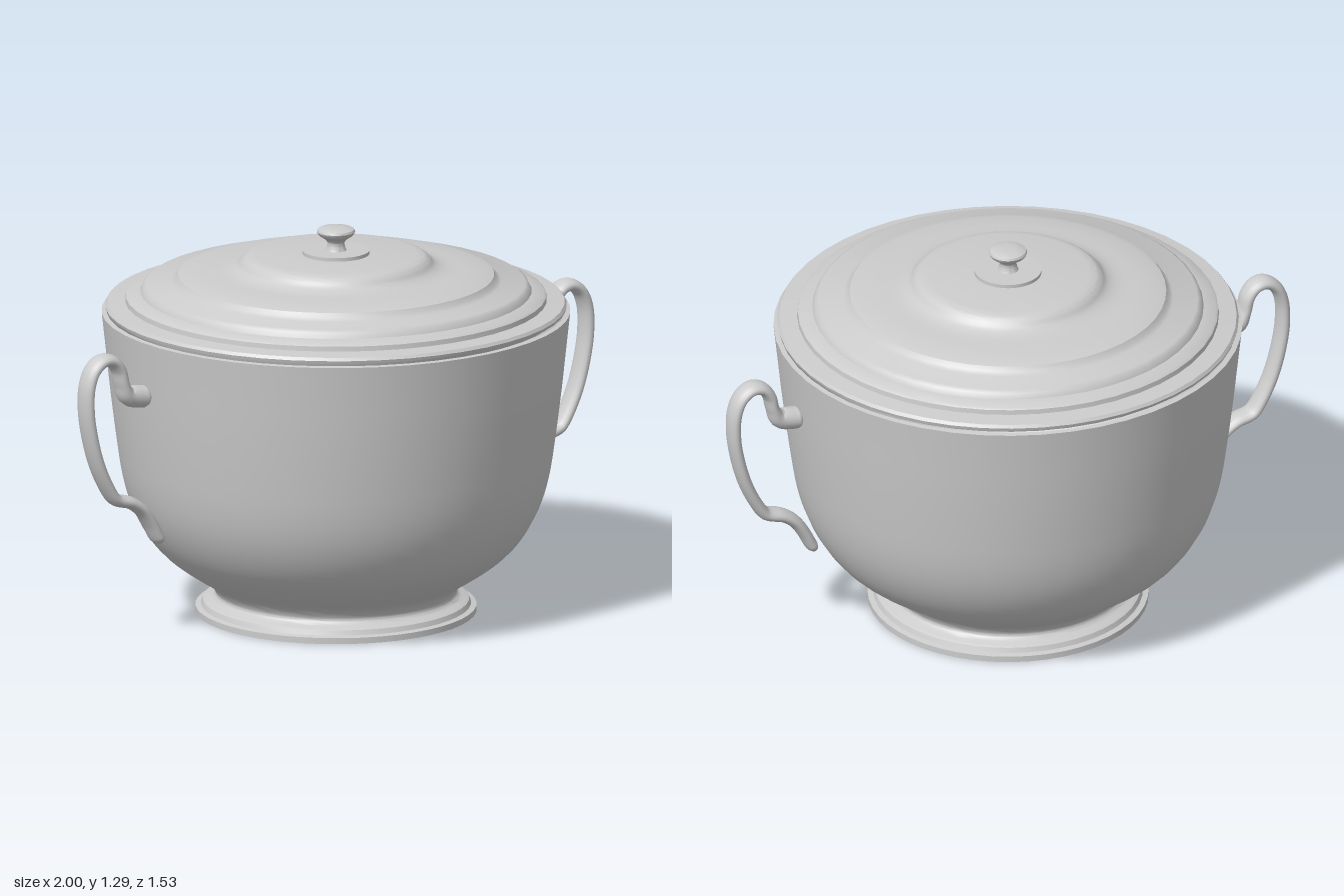
import * as THREE from 'three';
import { toCreasedNormals } from 'three/addons/utils/BufferGeometryUtils.js';
import { ParametricGeometry } from 'three/addons/geometries/ParametricGeometry.js';

const grey = new THREE.MeshStandardMaterial({ color: 0xcccccc });

// Turned part from a [radius, height] profile, with hard steps kept crisp
function turned(name, profile, segments = 48) {
  const points = profile.map(([r, y]) => new THREE.Vector2(r, y));
  const mesh = new THREE.Mesh(toCreasedNormals(new THREE.LatheGeometry(points, segments), 0.6), grey);
  mesh.name = name;
  return mesh;
}

// Smooth curve through [radius, height] points, resampled for a profile
function smooth(points, n) {
  const curve = new THREE.SplineCurve(points.map(([r, y]) => new THREE.Vector2(r, y)));
  return curve.getPoints(n).map((p) => [p.x, p.y]);
}

// Handle: flattened oval section swept along a scroll in the xy plane
function handleGeometry() {
  const path = new THREE.CatmullRomCurve3([
    [0.735, 0.825], [0.775, 0.828], [0.82, 0.84], [0.84, 0.88], [0.853, 0.93], [0.88, 0.962],
    [0.915, 0.968], [0.952, 0.942], [0.974, 0.89], [0.978, 0.81], [0.965, 0.72], [0.937, 0.62],
    [0.9, 0.54], [0.872, 0.498], [0.855, 0.488], [0.81, 0.475], [0.765, 0.444], [0.73, 0.395],
    [0.708, 0.352], [0.69, 0.322],
  ].map(([x, y]) => new THREE.Vector3(x, y, 0)));
  const sweep = (u, v, target) => {
    const p = path.getPointAt(u);
    const t = path.getTangentAt(u);
    const a = v * Math.PI * 2;
    // Rounded ends, and a thicker stub at the upper joint
    const end = Math.min(1, u / 0.02, (1 - u) / 0.03);
    const cap = Math.max(0.03, Math.sqrt(1 - (1 - end) ** 2));
    const stub = 1 - THREE.MathUtils.smoothstep(u, 0.05, 0.13);
    const thick = (0.021 + 0.016 * stub) * cap * Math.cos(a);
    target.set(p.x + t.y * thick, p.y - t.x * thick, 0.04 * cap * Math.sin(a));
  };
  return new ParametricGeometry(sweep, 96, 16);
}

export function createModel() {
  const model = new THREE.Group();

  // Bowl with stepped hollow foot, rim and inner wall
  model.add(turned('bowl', [
    [0, 0.11], [0.2, 0.11], [0.36, 0.035], [0.43, 0], [0.46, 0], [0.46, 0.02],
    [0.442, 0.024], [0.436, 0.04], [0.425, 0.046], [0.408, 0.05],
    ...smooth([[0.4, 0.056], [0.396, 0.07], [0.42, 0.103], [0.5, 0.155], [0.575, 0.215], [0.63, 0.285],
      [0.672, 0.37], [0.7, 0.47], [0.72, 0.6], [0.74, 0.76], [0.755, 0.9], [0.767, 1.01]], 40),
    [0.75, 1.012], [0.735, 0.88], [0.7, 0.58], [0.65, 0.36], [0.55, 0.22], [0.4, 0.14], [0, 0.13],
  ]));

  // Stepped lid
  model.add(turned('lid', [
    [0, 1.17], [0.26, 1.17], [0.5, 1.1], [0.66, 1.03], [0.73, 1.005], [0.735, 1.018],
    [0.752, 1.02], [0.755, 1.03], [0.748, 1.04], [0.69, 1.046], [0.688, 1.062], [0.68, 1.068],
    [0.64, 1.076], [0.632, 1.094], [0.62, 1.102],
    [0.54, 1.108], [0.527, 1.118], [0.518, 1.132], [0.49, 1.14],
    ...smooth([[0.42, 1.146], [0.36, 1.152], [0.325, 1.165], [0.308, 1.183], [0.29, 1.195], [0.265, 1.2]], 16),
    [0, 1.202],
  ]));

  // Plate under the knob
  model.add(turned('knobPlate', [[0, 1.195], [0.11, 1.195], [0.11, 1.213], [0, 1.213]], 32));

  // Knob
  model.add(turned('knob', [
    ...smooth([[0.036, 1.21], [0.031, 1.222], [0.028, 1.238], [0.036, 1.25], [0.056, 1.264], [0.063, 1.276]], 15),
    [0.06, 1.283], [0.05, 1.288], [0.025, 1.291], [0, 1.291],
  ], 32));

  // Pair of handles
  const geometry = handleGeometry();
  ['leftHandle', 'rightHandle'].forEach((name, i) => {
    const handle = new THREE.Mesh(geometry, grey);
    handle.name = name;
    handle.rotation.y = i * Math.PI;
    model.add(handle);
  });

  return model;
}
